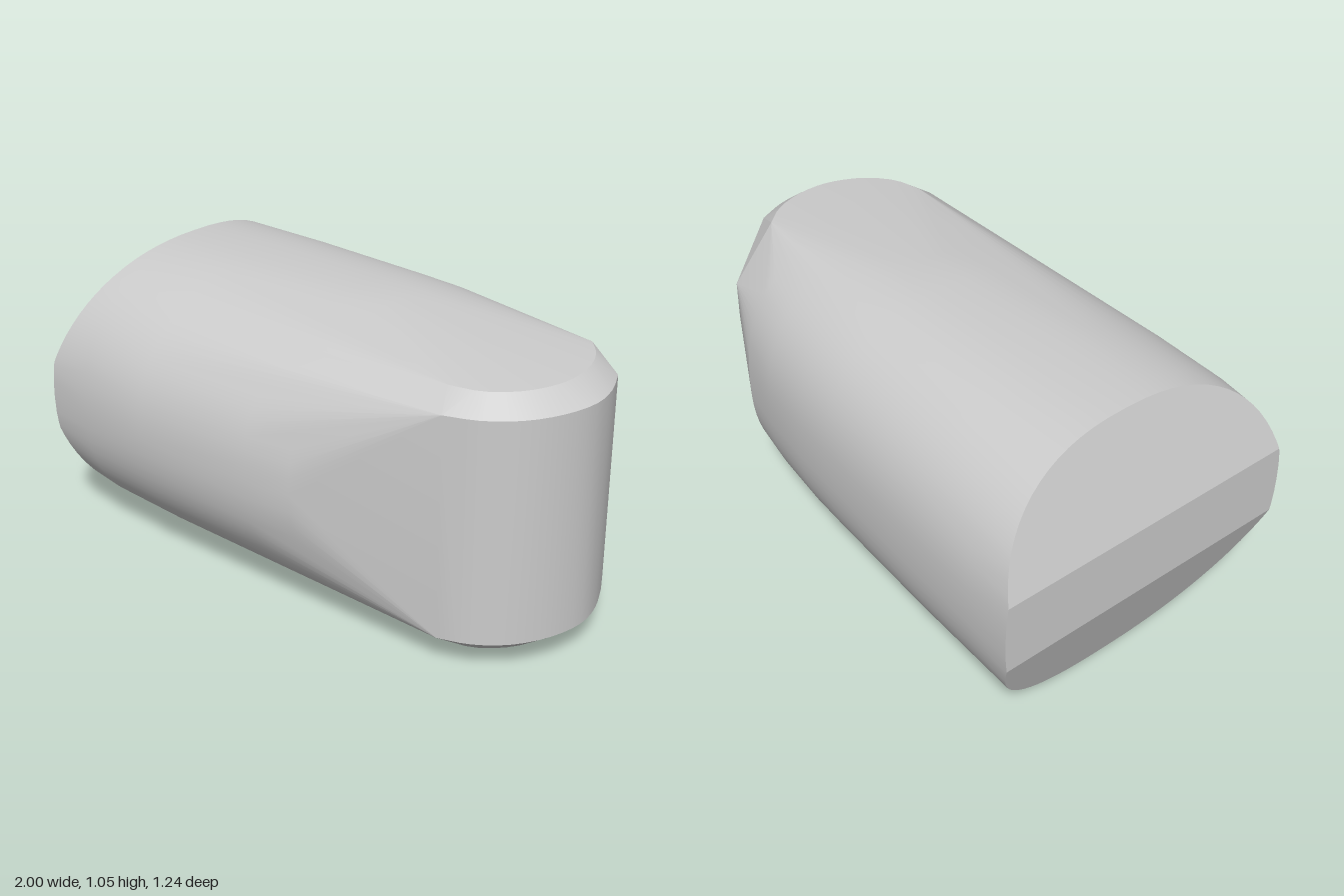
import * as THREE from 'three';
import { ConvexGeometry } from 'three/addons/geometries/ConvexGeometry.js';
import { toCreasedNormals } from 'three/addons/utils/BufferGeometryUtils.js';

const MID_Y = 0.532, MID_Z = -0.03, SEGMENTS = 72;

// Signed power, for superellipse sections
const spow = (v, p) => Math.sign(v) * Math.pow(Math.abs(v), p);

// Rounded section across the body, reaching from zBack to zFront
function section(halfHeight, zFront, zBack) {
  const points = [];
  for (let i = 0; i < SEGMENTS; i++) {
    const a = (i / SEGMENTS) * Math.PI * 2;
    const c = Math.cos(a), s = Math.sin(a);
    const p = 2 / (c > 0 ? 2.3 : 2.45);
    const reach = c > 0 ? zFront - MID_Z : MID_Z - zBack;
    points.push({ y: MID_Y + halfHeight * spow(s, p), z: MID_Z + reach * spow(c, p) });
  }
  return points;
}

export function createModel() {
  const group = new THREE.Group();
  const hull = [];
  const add = (x, y, z) => hull.push(new THREE.Vector3(x, y, z));

  // Wedge-cut end: a flat middle band with two slanted planes
  const cutX = (y) => -1 + 0.14 * Math.max(0, Math.abs(y - MID_Y) - 0.135) / 0.385;
  for (const { y, z } of section(0.52, 0.585, -0.62)) add(cutX(y), y, z);
  for (const y of [MID_Y - 0.135, MID_Y + 0.135]) {
    add(-1, y, 0.572);
    add(-1, y, -0.612);
  }

  // Barrel sections: x, half height, front z, back z
  for (const [x, h, front, back] of [
    [-0.8, 0.522, 0.605, -0.613],
    [-0.5, 0.527, 0.615, -0.6],
    [0, 0.525, 0.6, -0.57],
    [0.18, 0.522, 0.575, -0.557],
  ]) {
    for (const { y, z } of section(h, front, back)) add(x, y, z);
  }

  // The back half of the barrel carries on further
  for (const [x, h, back] of [[0.4, 0.505, -0.533], [0.58, 0.488, -0.5]]) {
    for (const { y, z } of section(h, 0.5, back)) if (z < MID_Z) add(x, y, z);
  }

  // Upright rounded nose and its bevelled top and bottom rims, as x, z curves
  const curve = (pairs) => new THREE.CatmullRomCurve3(
    pairs.map(([x, z]) => new THREE.Vector3(x, 0, z))).getPoints(18);
  const nose = curve([[0.69, 0.43], [0.8, 0.385], [0.9, 0.3], [0.97, 0.18],
    [1, 0.05], [0.983, -0.06], [0.935, -0.17]]);
  const rim = curve([[0.65, 0.35], [0.76, 0.32], [0.85, 0.24], [0.9, 0.14],
    [0.915, 0.05], [0.9, -0.06], [0.86, -0.15], [0.8, -0.22]]);
  for (const p of nose) {
    add(p.x, 0.13, p.z);
    add(p.x, 0.935, p.z);
  }
  add(0.895, 0.13, -0.24);
  for (const p of rim) {
    add(p.x, 0.067, p.z);
    add(p.x, 0.997, p.z);
  }

  // Short upright ridge at the back of the nose
  add(0.8, 0.66, -0.39);
  add(0.8, 0.8, -0.39);

  const body = new THREE.Mesh(
    toCreasedNormals(new ConvexGeometry(hull), 0.2),
    new THREE.MeshStandardMaterial({ color: 0xcccccc }));
  body.name = 'body';
  group.add(body);

  // Centre the body and stand it on the ground
  const box = new THREE.Box3().setFromObject(group);
  const centre = box.getCenter(new THREE.Vector3());
  body.position.set(-centre.x, -box.min.y, -centre.z);
  return group;
}
